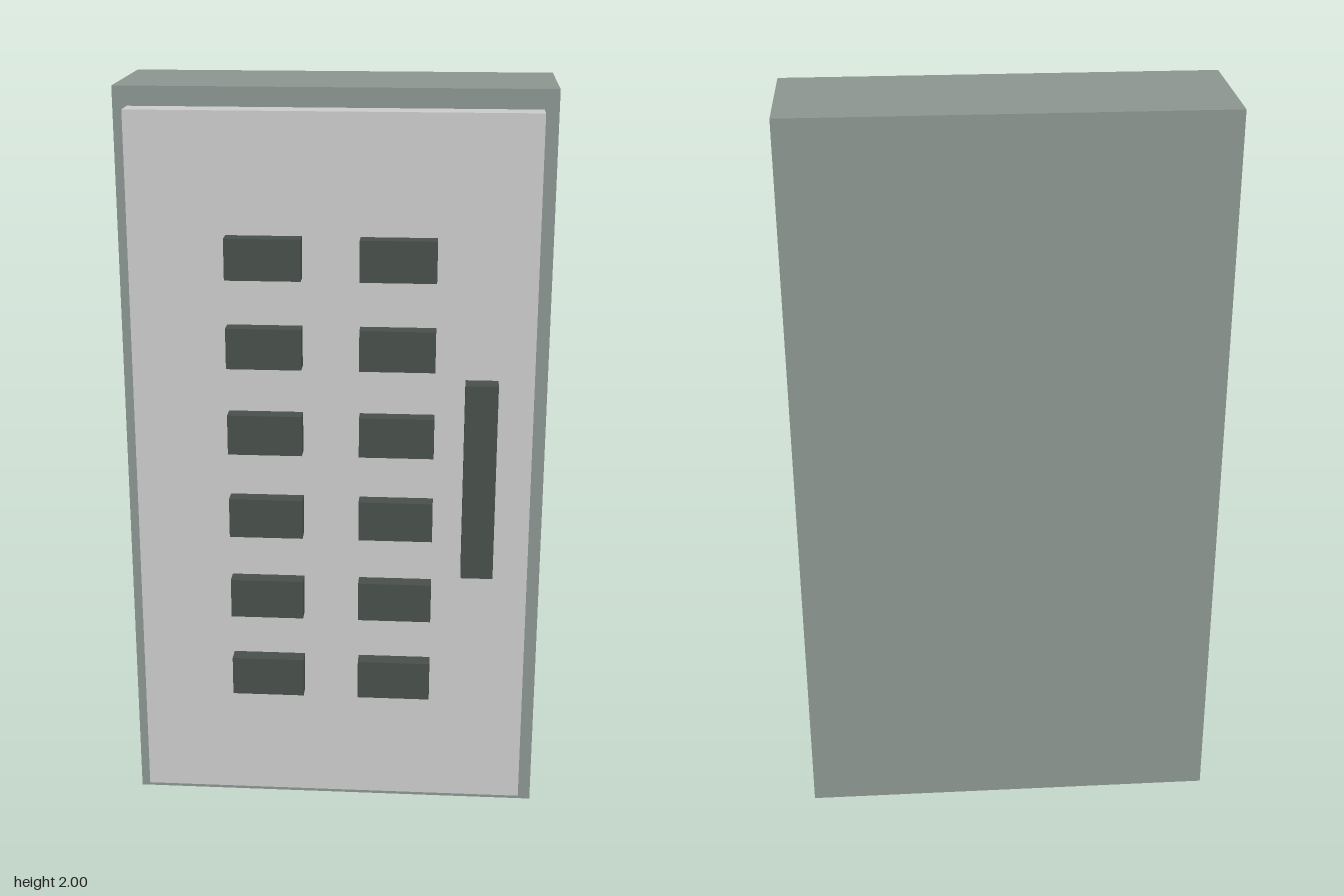
import * as THREE from 'three';

export function createModel() {
  const model = new THREE.Group();
  const caseMat = new THREE.MeshStandardMaterial({ color: 0x8b9590 });
  const doorMat = new THREE.MeshStandardMaterial({ color: 0xc7cbc9 });
  const darkMat = new THREE.MeshStandardMaterial({ color: 0x48504b });

  // Box given by its size and centre
  function addBox(name, [w, h, d], [x, y, z], material, parent = model) {
    const mesh = new THREE.Mesh(new THREE.BoxGeometry(w, h, d), material);
    mesh.name = name;
    mesh.position.set(x, y, z);
    parent.add(mesh);
  }

  // Cabinet case and the raised door panel on its front
  addBox('cabinetCase', [1.12, 2, 0.362], [0, 1, -0.064], caseMat);
  addBox('doorPanel', [1.046, 1.9, 0.07], [0, 1, 0.152], doorMat);

  // Upright door handle on the model's left
  addBox('doorHandle', [0.085, 0.533, 0.053], [0.387, 1.002, 0.2135], darkMat);

  // Two columns of six switches, standing just off the door
  const switches = new THREE.Group();
  switches.name = 'switches';
  model.add(switches);
  for (let row = 0; row < 6; row++) {
    for (const x of [-0.172, 0.17]) {
      addBox('switch', [0.194, 0.107, 0.044], [x, 0.428 + row * 0.232, 0.223], darkMat, switches);
    }
  }

  return model;
}
